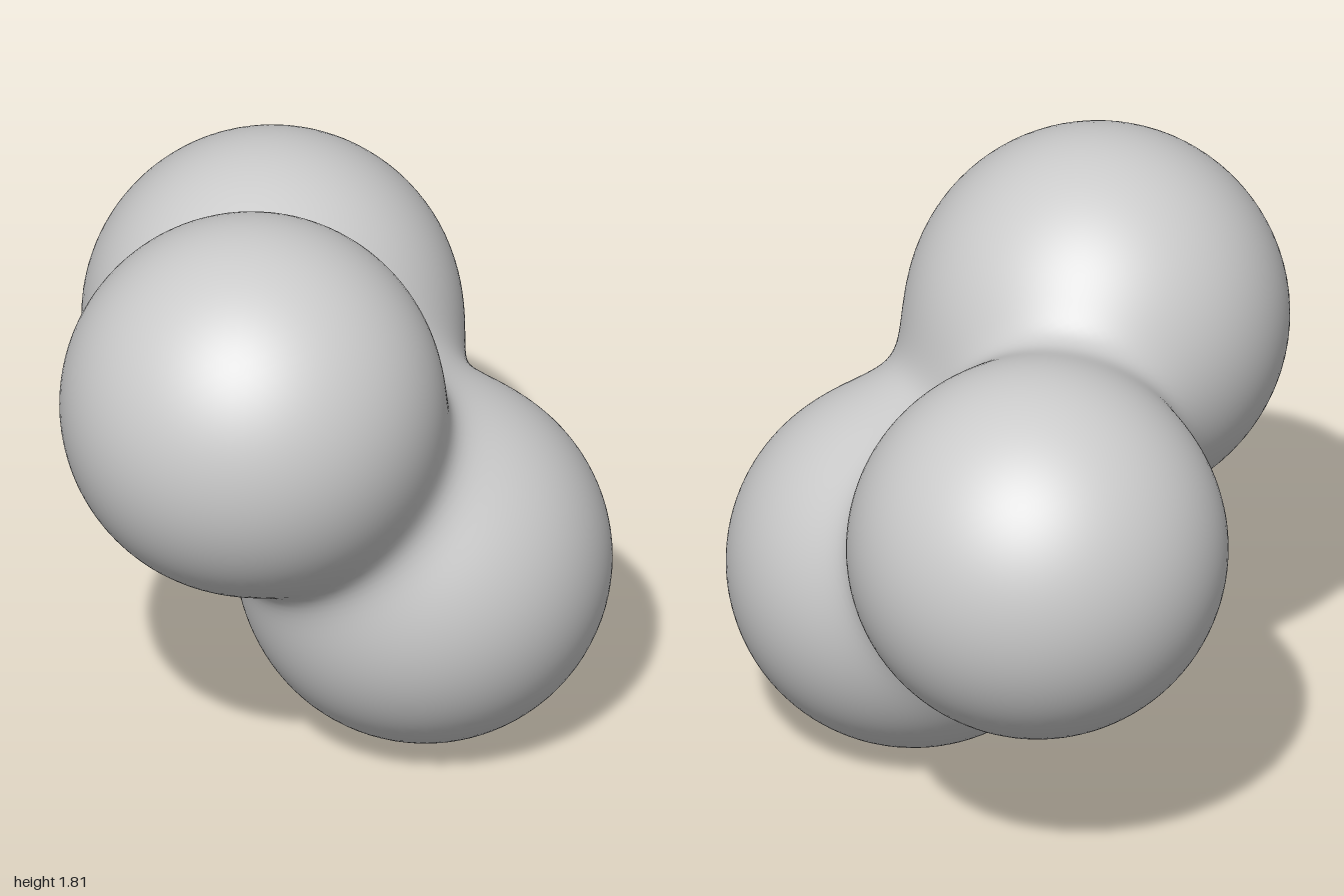
import * as THREE from 'three';

// Three round lobes: centre and radius
const lobes = [
  { c: new THREE.Vector3(-0.285, 1.247, 0.435), r: 0.565 },
  { c: new THREE.Vector3(0.3, 0.55, 0.35), r: 0.55 },
  { c: new THREE.Vector3(0.14, 0.975, -0.44), r: 0.56 },
];
const BLEND = 0.085; // softness of the necks between the lobes

// Smoothly blended distance to the lobes, negative inside
function field(p) {
  let sum = 0;
  for (const { c, r } of lobes) sum += Math.exp(-(p.distanceTo(c) - r) / BLEND);
  return -BLEND * Math.log(sum);
}

// Outward direction of the blended surface
function gradient(p) {
  const g = new THREE.Vector3();
  for (const { c, r } of lobes) {
    const d = p.clone().sub(c);
    const len = d.length();
    g.addScaledVector(d, Math.exp(-(len - r) / BLEND) / len);
  }
  return g.normalize();
}

export function createModel() {
  const group = new THREE.Group();
  group.name = 'blobCluster';

  const core = new THREE.Vector3();
  lobes.forEach(({ c }) => core.addScaledVector(c, 1 / lobes.length));

  // Fine sphere around the core, each vertex pushed out to the blended surface
  const geometry = new THREE.IcosahedronGeometry(1, 30);
  const pos = geometry.attributes.position;
  const normal = geometry.attributes.normal;
  const dir = new THREE.Vector3();
  const p = new THREE.Vector3();
  for (let i = 0; i < pos.count; i++) {
    dir.fromBufferAttribute(pos, i).normalize();
    const at = (t) => p.copy(core).addScaledVector(dir, t);
    let hi = 1.4;
    while (hi > 0.04 && field(at(hi - 0.03)) > 0) hi -= 0.03;
    let lo = hi - 0.03;
    for (let k = 0; k < 14; k++) {
      const mid = (lo + hi) / 2;
      if (field(at(mid)) > 0) hi = mid;
      else lo = mid;
    }
    at(lo);
    pos.setXYZ(i, p.x, p.y, p.z);
    const n = gradient(p);
    normal.setXYZ(i, n.x, n.y, n.z);
  }

  const body = new THREE.Mesh(geometry, new THREE.MeshStandardMaterial({ color: 0xcccccc }));
  body.name = 'mergedLobes';
  group.add(body);
  return group;
}
